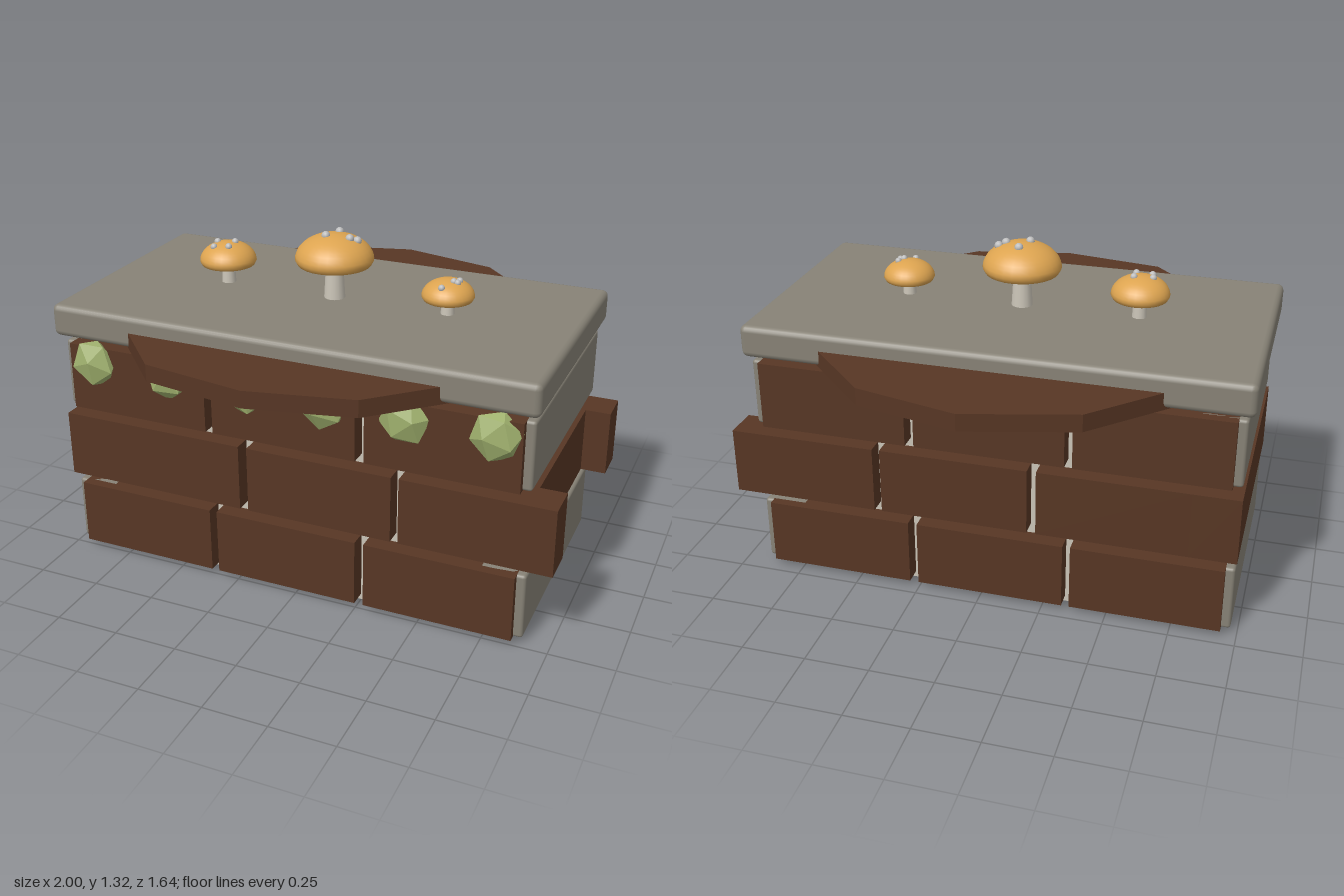
import * as THREE from 'three';
import { RoundedBoxGeometry } from 'three/addons/geometries/RoundedBoxGeometry.js';

const mat = (name, color, extra = {}) => {
  const m = new THREE.MeshStandardMaterial({ color, ...extra });
  m.name = name;
  return m;
};

export function createModel() {
  const model = new THREE.Group();
  model.name = 'mushroomWall';
  const brick = mat('brickBrown', 0x573624);
  const stone = mat('stoneGrey', 0x878276);
  const mortar = mat('mortarCream', 0xcac4b7);
  const moss = mat('mossGreen', 0x9fb06d, { flatShading: true });
  const capMat = mat('capOrange', 0xdda450);
  const spotMat = mat('spotGrey', 0xbcbcbc);

  const add = (name, geo, material, parent = model) => {
    const mesh = new THREE.Mesh(geo, material);
    mesh.name = name;
    parent.add(mesh);
    return mesh;
  };
  // Box given by its limits on each axis, optionally with rounded edges
  const box = (name, material, [x0, x1], [y0, y1], [z0, z1], r = 0) => {
    const s = [x1 - x0, y1 - y0, z1 - z0];
    const geo = r ? new RoundedBoxGeometry(...s, 2, r) : new THREE.BoxGeometry(...s);
    add(name, geo, material).position.set((x0 + x1) / 2, (y0 + y1) / 2, (z0 + z1) / 2);
  };

  // Mortar core
  box('mortarCore', mortar, [-0.91, 0.83], [0, 0.94], [-0.39, 0.44]);

  // Brick courses on the front and back faces
  const faces = [[0.37, 0.51], [-0.46, -0.32]];
  const courses = [[0.025, 0.29], [0.33, 0.595], [0.632, 0.9]];
  const evenRow = [[-0.94, -0.36], [-0.33, 0.25], [0.285, 0.865]];
  const oddRow = [[-0.8, -0.225], [-0.19, 0.39], [0.42, 1.0]];
  courses.forEach((y, i) => {
    const odd = i === 1;
    for (const z of faces)
      for (const x of odd ? oddRow : evenRow) box('brick', brick, x, y, z);
    // End blocks: brown in the middle course, stone in the others
    if (odd) {
      box('leftEndBrick', brick, [0.72, 0.9], y, [-0.455, 0.505]);
      box('rightEndBrick', brick, [-0.98, -0.8], y, [-0.46, 0.51]);
    } else {
      box('leftEndStone', stone, [0.72, 0.9], y, [-0.435, 0.482], 0.012);
      box('rightEndStone', stone, [-0.975, -0.8], y, [-0.435, 0.482], 0.012);
    }
  });

  // Capping slab
  box('topSlab', stone, [-1, 0.92], [0.928, 1.055], [-0.48, 0.525], 0.024);

  // Faceted shelf passing through the slab
  const outline = [[-0.04, 0.817], [0.355, 0.73], [0.7, 0.4], [0.76, 0], [0.7, -0.38], [0.355, -0.73],
    [-0.04, -0.825], [-0.45, -0.715], [-0.78, -0.38], [-0.84, 0], [-0.78, 0.4], [-0.45, 0.75]];
  const shelfShape = new THREE.Shape(outline.map(([x, z]) => new THREE.Vector2(x, -z)));
  const shelf = add('shelf', new THREE.ExtrudeGeometry(shelfShape, { depth: 0.066, bevelEnabled: false }), brick);
  shelf.rotation.x = -Math.PI / 2;
  shelf.position.y = 0.924;

  // Moss clumps below the front edge
  [-0.835, -0.515, -0.19, 0.125, 0.435, 0.77].forEach((x, i) => {
    const geo = new THREE.IcosahedronGeometry(0.1, 0);
    geo.rotateX(0.4 + i * 1.3).rotateY(i * 0.9).rotateZ(i * 1.7);
    geo.scale(1, 1, 0.5);
    add('mossClump', geo, moss).position.set(x, 0.833, 0.505);
  });

  // Mushrooms: position, cap radius, rim height, cap height, stem radii, spots [x, z]
  const mushrooms = [
    { x: -0.5, r: 0.112, y: 1.13, h: 0.09, stem: [0.024, 0.029],
      spots: [[-0.545, 0.02], [-0.475, 0.005], [-0.535, 0.07], [-0.475, 0.06]] },
    { x: -0.04, r: 0.152, y: 1.19, h: 0.118, stem: [0.032, 0.042],
      spots: [[-0.04, -0.03], [-0.065, 0.045], [0.025, 0.025], [0.05, 0.01]] },
    { x: 0.42, r: 0.1, y: 1.112, h: 0.08, stem: [0.022, 0.027],
      spots: [[0.46, 0.01], [0.445, 0.035], [0.415, 0.085], [0.46, 0.035]] },
  ];
  for (const m of mushrooms) {
    const g = new THREE.Group();
    g.name = 'mushroom';
    g.position.set(m.x, 0, 0.02);
    model.add(g);
    const stemHeight = m.y + 0.02 - 1.04;
    add('stem', new THREE.CylinderGeometry(...m.stem, stemHeight, 16), mortar, g)
      .position.y = 1.04 + stemHeight / 2;
    // Dome with a slightly tucked rim and closed underside
    const rim = 0.16 * m.h;
    const dome = m.h - rim;
    const profile = [new THREE.Vector2(0, 0), new THREE.Vector2(m.r * 0.93, 0)];
    for (let i = 0; i <= 10; i++) {
      const a = (i / 10) * Math.PI / 2;
      profile.push(new THREE.Vector2(i === 10 ? 0 : m.r * Math.cos(a), rim + dome * Math.sin(a)));
    }
    add('cap', new THREE.LatheGeometry(profile, 28), capMat, g).position.y = m.y;
    // Spots resting on the dome
    for (const [sx, sz] of m.spots) {
      const dx = sx - m.x, dz = sz - 0.02;
      const k = Math.sqrt(Math.max(0, 1 - (dx * dx + dz * dz) / (m.r * m.r)));
      add('spot', new THREE.SphereGeometry(m.r * 0.08 + 0.005, 10, 8), spotMat, g)
        .position.set(dx, m.y + rim + dome * k, dz);
    }
  }
  return model;
}
